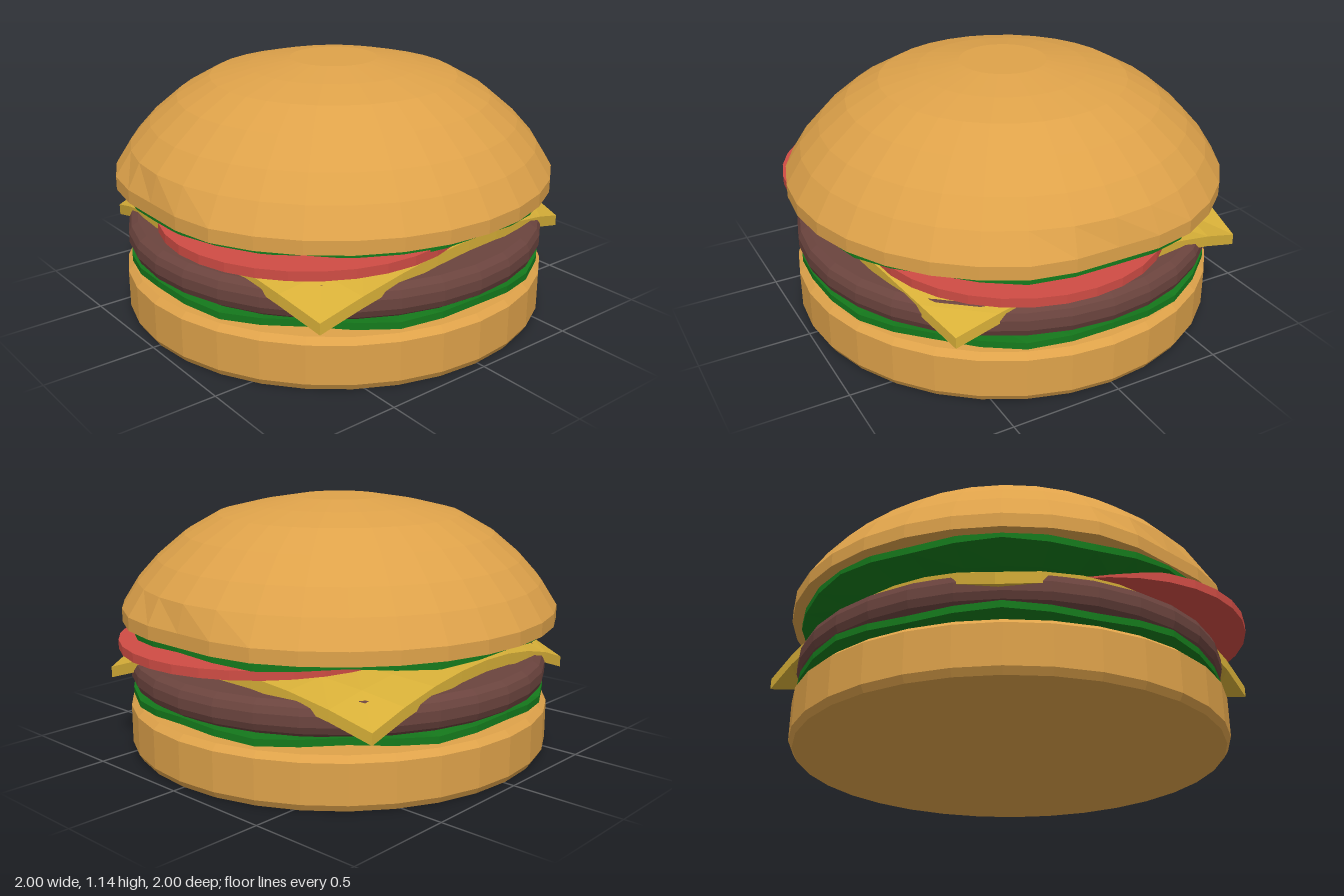
import * as THREE from 'three';

const SIDES = 32;
const COLORS = { bun: 0xdea24a, lettuce: 0x157a1c, patty: 0x6b443e, cheese: 0xd8b038, tomato: 0xcf4c44 };

function part(name, geometry, color) {
  const mesh = new THREE.Mesh(geometry, new THREE.MeshStandardMaterial({ color, flatShading: true }));
  mesh.name = name;
  return mesh;
}

// Solid of revolution from [radius, height] pairs, listed from the bottom up
function turned(profile) {
  return new THREE.LatheGeometry(profile.map(([r, y]) => new THREE.Vector2(r, y)), SIDES);
}

// Apply a rule to every vertex
function reshape(geometry, rule) {
  const pos = geometry.attributes.position;
  const v = new THREE.Vector3();
  for (let i = 0; i < pos.count; i++) {
    v.fromBufferAttribute(pos, i);
    rule(v);
    pos.setXYZ(i, v.x, v.y, v.z);
  }
  geometry.computeVertexNormals();
  return geometry;
}

// Leaf disc with a raised rim that ripples eight times around
function lettuce(name, y) {
  const g = turned([[0, 0], [0.8, 0], [0.955, 0.02], [0.955, 0.05], [0.8, 0.04], [0, 0.04]]);
  reshape(g, (v) => {
    if (Math.hypot(v.x, v.z) > 0.9) v.y += 0.008 + 0.013 * Math.cos(8 * Math.atan2(v.x, v.z));
  });
  const mesh = part(name, g, COLORS.lettuce);
  mesh.position.set(-0.005, y, 0.005);
  return mesh;
}

// Square slice with bowed edges and drooping corners
function cheese() {
  const g = new THREE.BoxGeometry(2, 0.05, 2, 8, 1, 8);
  const corners = { left: [-0.74, -0.76, -0.73, 0.83], right: [0.70, -0.82, 0.82, 0.66] };
  reshape(g, (v) => {
    const u = v.x, w = v.z, s = (u + 1) / 2, t = (w + 1) / 2;
    const [lx0, lz0, lx1, lz1] = corners.left;
    const [rx0, rz0, rx1, rz1] = corners.right;
    const mix = THREE.MathUtils.lerp;
    const bowX = mix(-0.105, 0.06, s) * (1 - w * w);
    const bowZ = mix(-0.04, 0.095, t) * (1 - u * u);
    v.x = mix(mix(lx0, lx1, t), mix(rx0, rx1, t), s) + bowX;
    v.z = mix(mix(lz0, rz0, s), mix(lz1, rz1, s), t) + bowZ;
    v.y += 0.483 - 0.14 * u * u * w * w;
  });
  return part('cheeseSlice', g, COLORS.cheese);
}

function tomato(name, x, y, z) {
  const mesh = part(name, new THREE.CylinderGeometry(0.66, 0.66, 0.04, SIDES), COLORS.tomato);
  mesh.position.set(x, y, z);
  return mesh;
}

export function createModel() {
  const burger = new THREE.Group();
  burger.name = 'burger';

  // Bottom bun
  const bottomBun = part('bottomBun', turned([
    [0, 0], [0.955, 0], [0.973, 0.03], [0.973, 0.205], [0.945, 0.23], [0, 0.23],
  ]), COLORS.bun);
  bottomBun.position.set(-0.01, 0, 0.005);

  // Patty with a rounded rim
  const patty = part('patty', turned([
    [0, 0.295], [0.92, 0.295], [0.95, 0.315], [0.963, 0.345], [0.963, 0.39],
    [0.95, 0.42], [0.92, 0.44], [0, 0.44],
  ]), COLORS.patty);
  patty.position.set(-0.007, 0, 0.007);

  // Domed top bun, slightly flattened at its two sides
  const topBun = part('topBun', reshape(turned([
    [0, 0.6], [0.998, 0.6], [0.998, 0.66], [0.925, 0.775], [0.835, 0.875],
    [0.71, 0.98], [0.56, 1.065], [0.385, 1.108], [0.197, 1.14], [0, 1.14],
  ]), (v) => { v.x = THREE.MathUtils.clamp(v.x, -0.96, 0.96); }), COLORS.bun);
  topBun.position.x = -0.008;

  burger.add(
    bottomBun,
    lettuce('lowerLettuce', 0.236),
    patty,
    cheese(),
    tomato('rightTomatoSlice', -0.34, 0.552, 0.27),
    tomato('leftTomatoSlice', 0.34, 0.518, 0.13),
    lettuce('upperLettuce', 0.54),
    topBun,
  );
  return burger;
}
